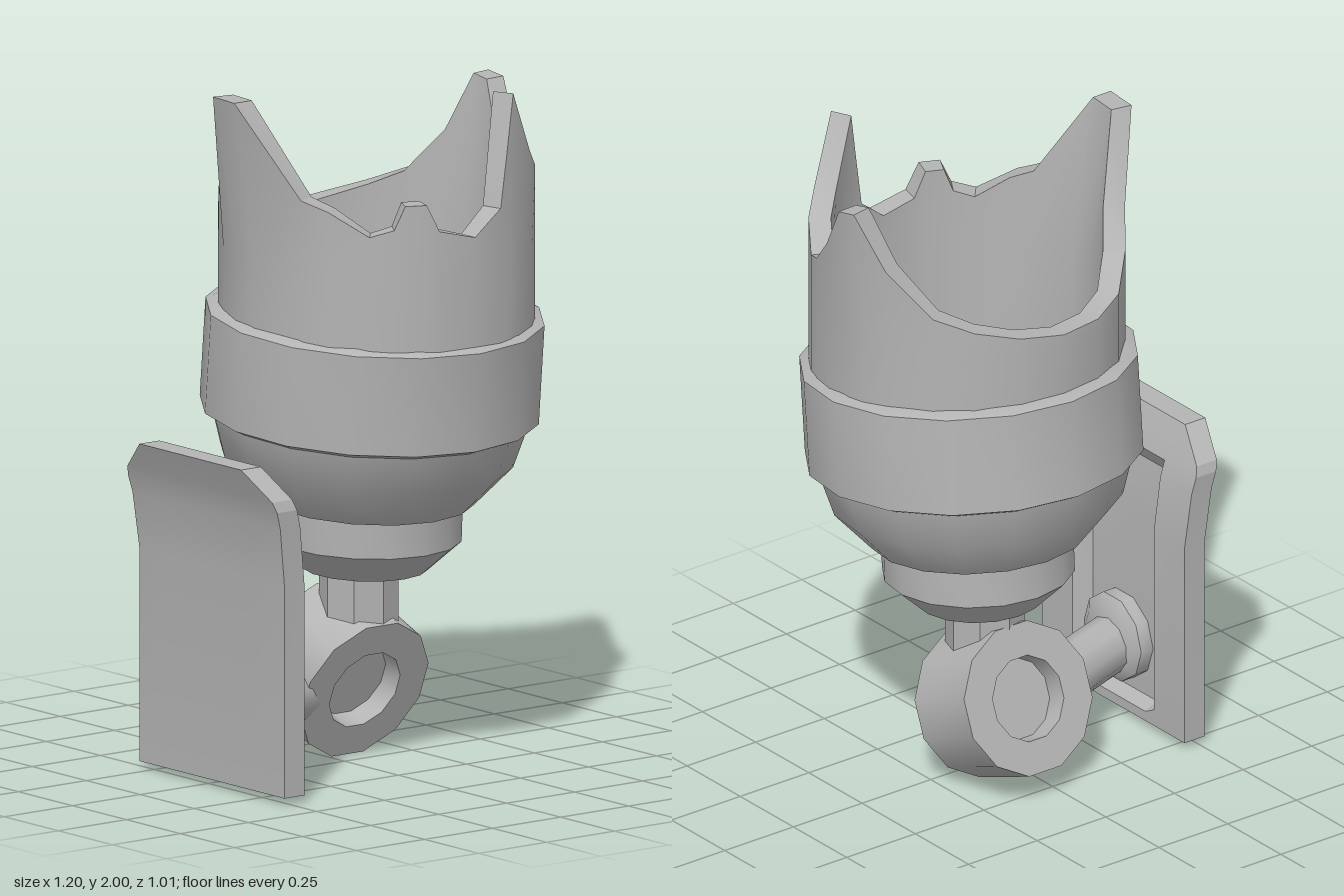
import * as THREE from 'three';
import { toCreasedNormals } from 'three/addons/utils/BufferGeometryUtils.js';

const grey = new THREE.MeshStandardMaterial({ color: 0xb4b4b4 });
grey.name = 'plain grey';

function part(name, geometry, crease = 0.5) {
  const mesh = new THREE.Mesh(toCreasedNormals(geometry, crease), grey);
  mesh.name = name;
  return mesh;
}

function lathe(points, sides, start = 0) {
  return new THREE.LatheGeometry(points.map(([r, y]) => new THREE.Vector2(r, y)), sides, start);
}

// Wall plate: a grid box with a sunken panel, cut top corners and a curved top
function plateGeometry() {
  const rows = [0.025, 0.055, 0.075, 0.65, 0.82, 0.87, 0.9, 0.985];
  const halfWidths = [0.335, 0.335, 0.335, 0.335, 0.342, 0.345, 0.335, 0.235];
  const cols = [-1, -0.57, -0.45, 0.45, 0.57, 1];
  const g = new THREE.BoxGeometry(1, 1, 1, 1, 7, 5);
  const p = g.attributes.position;
  for (let i = 0; i < p.count; i++) {
    const r = Math.round((p.getY(i) + 0.5) * 7);
    const c = Math.round((p.getZ(i) + 0.5) * 5);
    const front = p.getX(i) > 0;
    const sunken = front && r > 1 && r < 5 && c > 1 && c < 4;
    const bend = 0.08 * (Math.max(0, rows[r] - 0.65) / 0.335) ** 2;
    p.setXYZ(i, (front ? -0.447 : -0.52) - (sunken ? 0.043 : 0) - bend,
      rows[r], 0.042 + cols[c] * halfWidths[r]);
  }
  return g;
}

// Broken shade: a thick wall whose rim follows [angle, height, outer radius]
function shadeGeometry() {
  const R = 0.457;
  const rim = [
    [-11, 1.95, 0.495], [-4, 1.94, 0.495], [8, 1.79, 0.465], [19, 1.7, R], [27, 1.68, R],
    [40, 1.75, R], [50, 1.81, 0.45], [65, 2.0, 0.44], [71, 1.83, 0.445], [77, 1.68, R],
    [90, 1.61, R], [105, 1.64, R], [110, 1.72, R], [118, 1.72, R], [122, 1.65, R],
    [131, 1.63, R], [146, 1.7, 0.46], [156, 1.73, 0.47], [179, 2.0, 0.53], [191, 2.0, 0.53],
    [203, 1.74, 0.47], [214, 1.64, R], [235, 1.58, R], [252, 1.56, R], [270, 1.56, R],
    [288, 1.58, R], [305, 1.61, R], [320, 1.65, R], [338, 1.78, 0.465],
  ];
  const T = 0.065, pos = [], index = [], n = rim.length;
  rim.forEach(([deg, h, r]) => {
    const a = THREE.MathUtils.degToRad(deg);
    const section = [[R, 1.08], [R, 1.53], [r, h], [r - T, h], [R - T, 1.53], [R - T, 1.08]];
    for (const [s, y] of section) pos.push(0.102 + s * Math.cos(a), y, 0.02 + s * Math.sin(a));
  });
  for (let i = 0; i < n; i++) {
    for (let j = 0; j < 5; j++) {
      const a = i * 6 + j, b = ((i + 1) % n) * 6 + j;
      index.push(a, a + 1, b, b, a + 1, b + 1);
    }
  }
  const g = new THREE.BufferGeometry();
  g.setAttribute('position', new THREE.Float32BufferAttribute(pos, 3));
  g.setIndex(index);
  return g;
}

export function createModel() {
  const model = new THREE.Group();
  model.name = 'wallLamp';

  model.add(part('wallPlate', plateGeometry(), 0.3));

  // Round flange and arm leading from the plate into the side of the joint
  const flange = part('armFlange', lathe(
    [[0, 0], [0.135, 0], [0.135, 0.045], [0.1, 0.068], [0, 0.068]], 10), 0.7);
  flange.rotation.z = -Math.PI / 2;
  flange.position.set(-0.492, 0.235, 0.045);
  const path = new THREE.CatmullRomCurve3([
    new THREE.Vector3(-0.46, 0.222, 0.045),
    new THREE.Vector3(-0.28, 0.212, -0.005),
    new THREE.Vector3(-0.1, 0.21, -0.085),
  ]);
  model.add(flange, part('arm', new THREE.TubeGeometry(path, 4, 0.085, 10), 0.8));

  // Tilted joint with a round recess in both ends
  const joint = part('joint', lathe([
    [0, -0.06], [0.12, -0.06], [0.125, -0.125], [0.225, -0.125],
    [0.225, 0.125], [0.125, 0.125], [0.12, 0.06], [0, 0.06],
  ], 12, Math.PI / 12), 0.6);
  joint.rotation.x = Math.PI / 2 + 0.38;
  joint.position.set(0.07, 0.253, -0.11);
  model.add(joint);

  // Short stem under the cup
  const stem = part('stem', new THREE.CylinderGeometry(0.115, 0.115, 0.2, 8));
  stem.position.set(0.08, 0.49, -0.035);
  model.add(stem);

  // Stepped base below the bowl
  const base = part('cupBase', lathe(
    [[0, 0], [0.185, 0], [0.28, 0.09], [0.28, 0.24], [0, 0.24]], 16));
  base.rotation.x = 0.05;
  base.position.set(0.1, 0.56, -0.035);
  model.add(base);

  // Hollow bowl with a collar, leaning slightly forward
  const bowl = part('bowl', lathe([
    [0, 0.2], [0.28, 0.2], [0.32, 0.21], [0.425, 0.33], [0.46, 0.45],
    [0.492, 0.465], [0.492, 0.76], [0.457, 0.775], [0.42, 0.775],
    [0.42, 0.55], [0.385, 0.47], [0.345, 0.38], [0.27, 0.31], [0.17, 0.27], [0, 0.25],
  ], 16), 0.6);
  bowl.rotation.x = 0.09;
  bowl.position.set(0.102, 0.56, -0.055);
  model.add(bowl);

  model.add(part('brokenShade', shadeGeometry()));
  return model;
}
